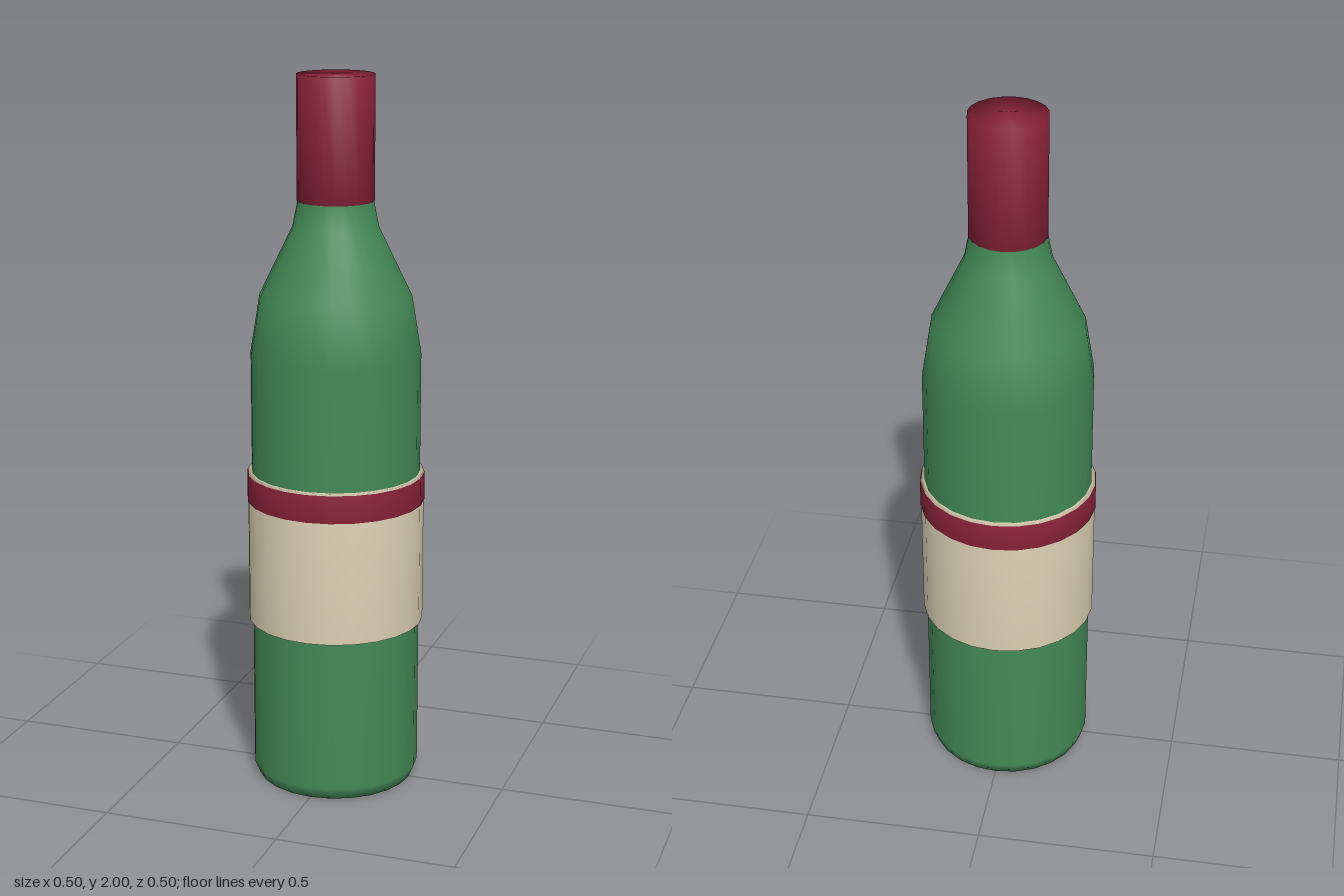
import * as THREE from 'three';

const material = (name, color) => {
  const m = new THREE.MeshStandardMaterial({ color });
  m.name = name;
  return m;
};

// Smooth turned part from [radius, height] points, listed bottom to top
function turned(name, points, segments, mat) {
  const profile = points.map(([r, y]) => new THREE.Vector2(r, y));
  const mesh = new THREE.Mesh(new THREE.LatheGeometry(profile, segments), mat);
  mesh.name = name;
  return mesh;
}

// Closed sleeve with a hollow centre
const sleeve = (inner, outer, y0, y1) => [[inner, y0], [outer, y0], [outer, y1], [inner, y1]];

export function createModel() {
  const green = material('green glass', 0x448a56);
  const red = material('wine red foil', 0x8a2339);
  const cream = material('cream paper', 0xded2b6);

  const bottle = new THREE.Group();
  bottle.name = 'bottle';

  // Glass body with chamfered base, sloping shoulder and neck
  bottle.add(turned('glassBody', [
    [0, 0], [0.222, 0], [0.236, 0.035], [0.236, 1.24],
    [0.21, 1.4], [0.118, 1.59], [0.1, 1.68], [0.095, 1.9],
  ], 24, green));

  // Foil over the neck
  bottle.add(turned('neckFoil', [
    [0, 1.66], [0.106, 1.66], [0.106, 2], [0, 2],
  ], 20, red));

  // Paper label and its coloured band
  bottle.add(turned('label', sleeve(0.23, 0.247, 0.47, 0.903), 24, cream));
  bottle.add(turned('labelBand', sleeve(0.24, 0.249, 0.82, 0.898), 24, red));

  return bottle;
}
